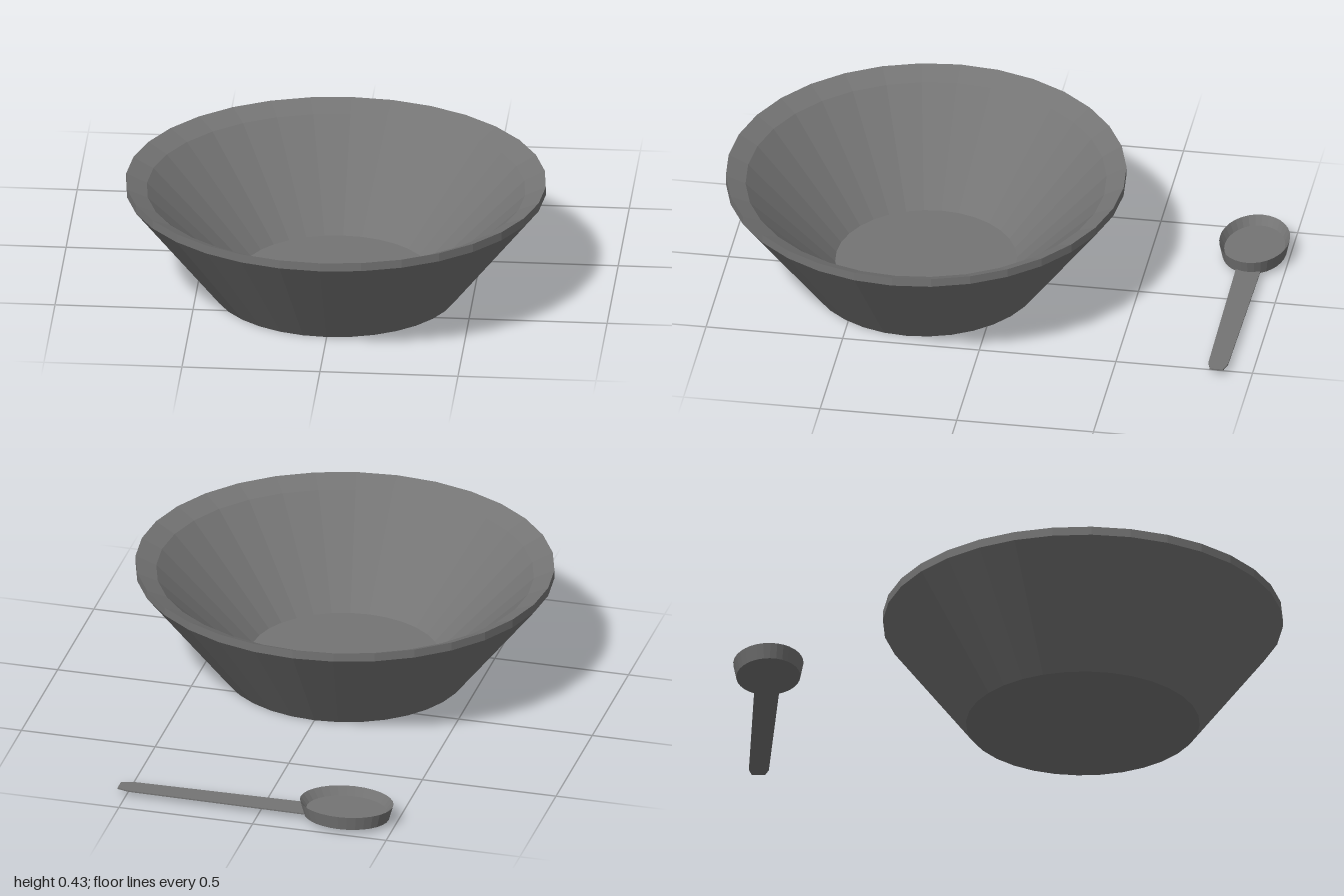
import * as THREE from 'three';

const material = new THREE.MeshStandardMaterial({ color: 0x747474, flatShading: true, side: THREE.DoubleSide });

// Turns a [radius, height] profile and squashes it in z to make it oval.
function ovalLathe(name, profile, sides, squash) {
  const points = profile.map(([r, y]) => new THREE.Vector2(r, y));
  const geometry = new THREE.LatheGeometry(points, sides);
  geometry.scale(1, 1, squash);
  const mesh = new THREE.Mesh(geometry, material);
  mesh.name = name;
  return mesh;
}

export function createModel() {
  const model = new THREE.Group();
  model.name = 'bowlAndSpoon';

  // Bowl: flat base, flared wall, short upright lip, bevelled rim, flat floor
  const bowl = ovalLathe('bowl', [
    [0, 0], [0.444, 0], [0.76, 0.398], [0.76, 0.43],
    [0.685, 0.395], [0.345, 0.06], [0, 0.06],
  ], 32, 0.951);
  bowl.position.z = 0.277;
  model.add(bowl);

  const spoon = new THREE.Group();
  spoon.name = 'spoon';
  spoon.position.z = -0.873;
  model.add(spoon);

  // Spoon head: shallow oval cup with a raised floor and a thin wall
  const head = ovalLathe('spoonHead', [
    [0, 0.016], [0.157, 0.016], [0.172, 0.07], [0.148, 0.038], [0, 0.038],
  ], 32, 0.738);
  head.position.x = -0.318;
  spoon.add(head);

  // Spoon handle: thin tapered strip with clipped end corners
  const outline = [[-0.17, 0.045], [0.49, 0.036], [0.533, 0.024]];
  const shape = new THREE.Shape([
    ...outline.map(([x, z]) => new THREE.Vector2(x, -z)),
    ...outline.slice().reverse().map(([x, z]) => new THREE.Vector2(x, z)),
  ]);
  const strip = new THREE.ExtrudeGeometry(shape, { depth: 0.005, bevelEnabled: false });
  strip.rotateX(-Math.PI / 2);
  const handle = new THREE.Mesh(strip, material);
  handle.name = 'spoonHandle';
  handle.position.y = 0.02;
  spoon.add(handle);

  return model;
}
